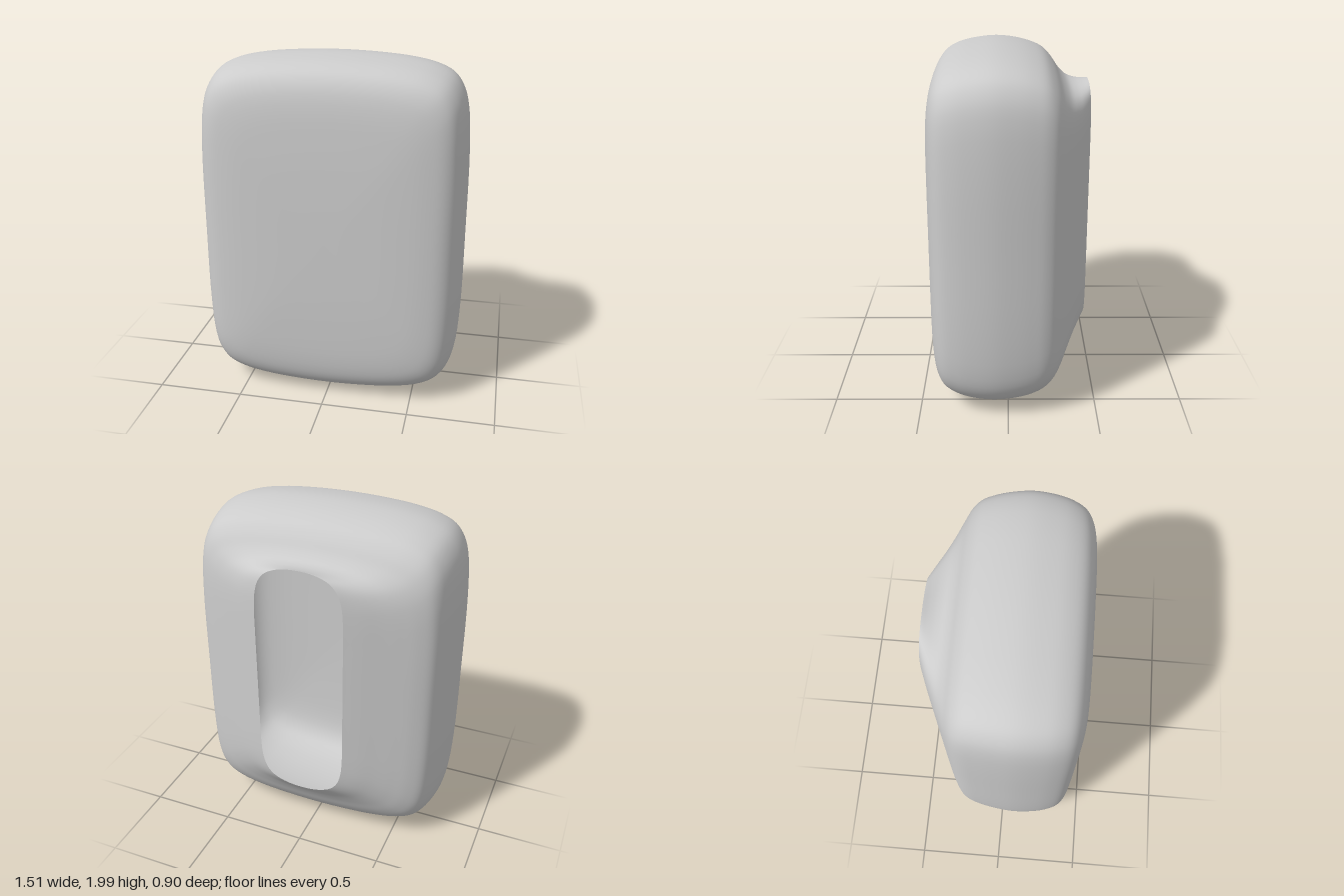
import * as THREE from 'three';

// Quarter outlines (side to top), as fractions of half width and half height
const BODY = [[1, 0], [0.995, 0.5], [0.97, 0.73], [0.93, 0.83], [0.86, 0.9], [0.74, 0.945], [0.556, 0.975], [0.3, 0.993], [0, 1]];
const OPENING = [[1, 0], [1, 0.42], [0.995, 0.63], [0.96, 0.77], [0.87, 0.87], [0.72, 0.935], [0.5, 0.975], [0.25, 0.995], [0, 1]];

// Cross-sections from front to back: z, half width, bottom, top, blend towards the opening outline
const SECTIONS = [
  [0.45, 0.001, 0.999, 1.001, 0],
  [0.448, 0.19, 0.75, 1.25, 0],
  [0.441, 0.39, 0.46, 1.54, 0],
  [0.424, 0.55, 0.22, 1.78, 0.1],
  [0.397, 0.645, 0.125, 1.875, 0.15],
  [0.355, 0.697, 0.07, 1.93, 0.1],
  [0.28, 0.73, 0.034, 1.968, 0.05],
  [0.18, 0.749, 0.013, 1.99, 0],
  [0.07, 0.755, 0.006, 2, 0],
  [-0.04, 0.745, 0.013, 1.99, 0],
  [-0.13, 0.729, 0.032, 1.968, 0],
  [-0.2, 0.71, 0.063, 1.937, 0.05],
  [-0.25, 0.68, 0.105, 1.888, 0.1],
  [-0.295, 0.615, 0.165, 1.825, 0.2],
  [-0.335, 0.53, 0.235, 1.79, 0.4],
  [-0.375, 0.437, 0.295, 1.78, 0.65],
  [-0.415, 0.345, 0.342, 1.782, 0.85],
  [-0.45, 0.255, 0.378, 1.79, 1],
];

// Mirror a quarter outline into a full loop, counter-clockwise from +x
function fullLoop(quarter) {
  const half = [...quarter, ...quarter.slice(0, -1).reverse().map(([x, y]) => [-x, y])];
  return [...half, ...half.slice(1, -1).reverse().map(([x, y]) => [x, -y])];
}

function shellGeometry(steps, around) {
  const body = fullLoop(BODY);
  const opening = fullLoop(OPENING);

  // One smooth curve running front to back for each outline point
  const ribs = body.map(([bx, by], k) => new THREE.CatmullRomCurve3(
    SECTIONS.map(([z, w, bottom, top, t]) => new THREE.Vector3(
      w * THREE.MathUtils.lerp(bx, opening[k][0], t),
      (top + bottom) / 2 + (top - bottom) / 2 * THREE.MathUtils.lerp(by, opening[k][1], t),
      z))));

  const positions = [];
  const index = [];
  for (let i = 0; i <= steps; i++) {
    const ring = new THREE.CatmullRomCurve3(ribs.map((rib) => rib.getPoint(i / steps)), true);
    for (let j = 0; j < around; j++) {
      positions.push(...ring.getPoint(j / around).toArray());
      if (i === steps) continue;
      const a = i * around + j;
      const d = i * around + (j + 1) % around;
      index.push(a, a + around, d + around, a, d + around, d);
    }
  }
  // Close the tiny front ring
  for (let j = 1; j < around - 1; j++) index.push(0, j, j + 1);

  const geometry = new THREE.BufferGeometry();
  geometry.setAttribute('position', new THREE.Float32BufferAttribute(positions, 3));
  geometry.setIndex(index);
  geometry.computeVertexNormals();
  return geometry;
}

export function createModel() {
  const group = new THREE.Group();
  group.name = 'hollowCushion';

  // Thin rounded shell, open at the back
  const material = new THREE.MeshStandardMaterial({ color: 0xcccccc, side: THREE.DoubleSide });
  const shell = new THREE.Mesh(shellGeometry(85, 128), material);
  shell.name = 'shell';
  group.add(shell);

  return group;
}
